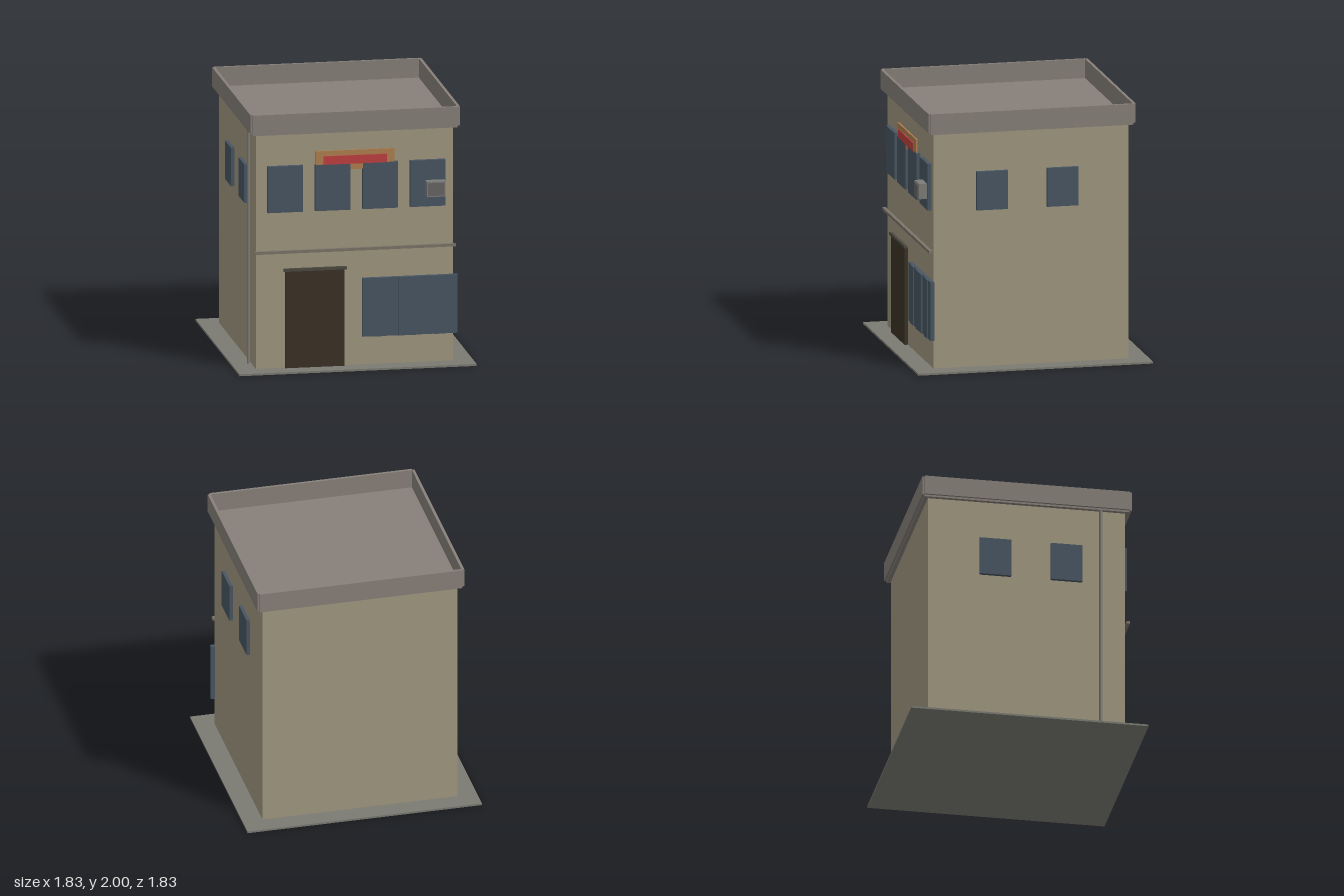
import * as THREE from 'three';

const paint = (color) => new THREE.MeshStandardMaterial({ color, flatShading: true });

export function createModel() {
  const house = new THREE.Group();
  house.name = 'house';

  const wall = paint(0xa09880), paving = paint(0x7b7b73), roof = paint(0x88807a);
  const glass = paint(0x485663), wood = paint(0x3b3226), stone = paint(0x7c7468);
  const dark = paint(0x4c4a40), orange = paint(0xb08050), red = paint(0xc04040);
  const metal = paint(0x7c7c78), grilleGrey = paint(0x686664);

  // Box given by its extents along each axis
  function block(name, material, [x0, x1], [y0, y1], [z0, z1]) {
    const mesh = new THREE.Mesh(new THREE.BoxGeometry(x1 - x0, y1 - y0, z1 - z0), material);
    mesh.position.set((x0 + x1) / 2, (y0 + y1) / 2, (z0 + z1) / 2);
    mesh.name = name;
    house.add(mesh);
    return mesh;
  }

  // Ground slab, walls and roof deck
  block('groundSlab', paving, [-0.914, 0.914], [0, 0.015], [-0.914, 0.914]);
  block('walls', wall, [-0.76, 0.76], [0.01, 1.84], [-0.76, 0.76]);
  block('roofDeck', roof, [-0.79, 0.79], [1.835, 1.851], [-0.79, 0.79]);

  // Parapet: four walls with small open notches at the outer corners
  for (const s of [-1, 1]) {
    const across = [s * 0.785, s * 0.807].sort((a, b) => a - b);
    block('parapetEnd', roof, [-0.79, 0.79], [1.85, 2], across);
    block('parapetSide', roof, across, [1.85, 2], [-0.79, 0.79]);
  }

  // Upper front windows
  for (let i = 0; i < 4; i++) {
    const x = -0.672 + i * 0.366;
    block('frontWindow', glass, [x, x + 0.272], [1.23, 1.59], [0.755, 0.791]);
  }

  // Two windows on each side wall
  for (const s of [-1, 1]) {
    const depth = [s * 0.755, s * 0.787].sort((a, b) => a - b);
    for (const z of [-0.363, 0.185]) {
      block('sideWindow', glass, depth, [1.23, 1.53], [z, z + 0.243]);
    }
  }

  // Sign board with its raised stripe
  block('signBoard', orange, [-0.305, 0.303], [1.545, 1.695], [0.776, 0.789]);
  block('signStripe', red, [-0.245, 0.243], [1.59, 1.655], [0.786, 0.798]);

  // Air conditioner
  block('airConditioner', metal, [0.54, 0.686], [1.317, 1.436], [0.785, 0.856]);
  block('airConditionerGrille', grilleGrey, [0.55, 0.676], [1.327, 1.426], [0.85, 0.863]);

  // Ledge between floors
  block('ledge', stone, [-0.775, 0.775], [0.91, 0.932], [0.77, 0.796]);

  // Door and lintel
  block('door', wood, [-0.535, -0.08], [0.012, 0.77], [0.755, 0.786]);
  block('doorLintel', dark, [-0.55, -0.064], [0.768, 0.79], [0.772, 0.795]);

  // Folding shop window: mirrored panels at alternating depths
  [0, 1, 0, 1, 1, 0, 1, 0].forEach((raised, i) => {
    const x = 0.058 + i * 0.0916;
    block('shopPanel', glass, [x, x + 0.0916], [0.235, 0.69], [0.757, raised ? 0.797 : 0.788]);
  });

  // Drainpipe
  const pipe = new THREE.Mesh(new THREE.CylinderGeometry(0.0125, 0.0125, 1.825, 8), metal);
  pipe.position.set(-0.781, 0.9275, 0.57);
  pipe.name = 'drainpipe';
  house.add(pipe);

  return house;
}
